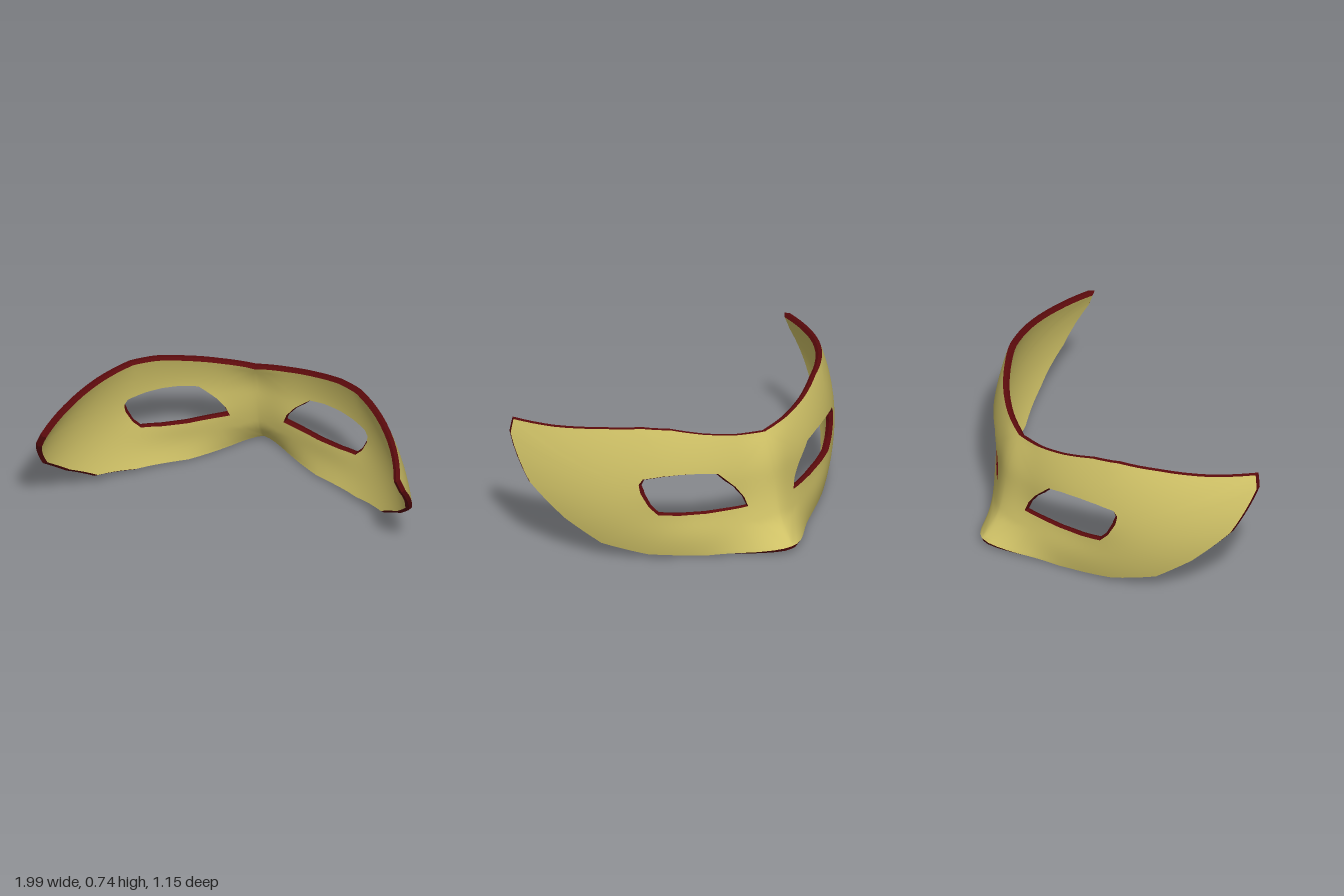
import * as THREE from 'three';
import { mergeVertices } from 'three/addons/utils/BufferGeometryUtils.js';

const THICKNESS = 0.036;
const SPLIT = 4; // subdivisions between outline points
const RINGS = 14; // rings between eye hole and outer edge
const RIDGE = 0.03; // how far the rounded edge bands stand out, as a share of the ring span

// Half outline as [angle from the nose in degrees, height], paired with the eye hole
const EDGE = [
  [0, 0.2], [0, 0.36], [0, 0.5], [0, 0.63], [12, 0.655], [24, 0.69], [36, 0.732],
  [46, 0.746], [60, 0.731], [77, 0.7], [92, 0.68], [91.5, 0.61], [82.5, 0.385],
  [71, 0.215], [59.5, 0.088], [44, 0.03], [24, 0.008], [10, 0.024], [0, 0.045],
];
const EYE = [
  [9.8, 0.265], [11, 0.32], [14, 0.385], [17, 0.43], [20, 0.475], [26, 0.492], [33, 0.498],
  [39, 0.494], [45.5, 0.48], [46.8, 0.45], [46.5, 0.42], [46.2, 0.4], [45.2, 0.37],
  [43.5, 0.32], [40.5, 0.27], [33, 0.255], [24, 0.25], [15, 0.258], [12, 0.261],
];

// Outer surface: a near-cylinder bulging at mid height, with eye sockets, bridge and nose ridge
function surfacePoint(deg, y) {
  const t2 = (deg / 90) ** 2;
  const reach = y > 0.35 ? 0.28 + 0.1 * Math.min(1, 4 * t2) : 0.36;
  const bulge = (0.045 + 0.05 * t2) * (1 - ((y - 0.35) / reach) ** 2);
  const socket = 0.025 * Math.exp(-(((Math.abs(deg) - 27) / 14) ** 2) - ((y - 0.27) / 0.12) ** 2);
  const bridge = 0.03 * Math.max(0, 1 - ((y - 0.4) / 0.23) ** 2) * Math.exp(-((deg / 8) ** 2));
  const drop = Math.max(0, (0.42 - y) / 0.39);
  const nose = 0.22 * drop * drop * Math.exp(-(Math.abs(deg / 13) ** 1.5));
  const r = 0.862 + 0.065 * t2 * t2 + bulge - socket + bridge + nose;
  const a = THREE.MathUtils.degToRad(deg);
  return new THREE.Vector3(r * Math.sin(a), y, 0.5 - r * Math.cos(a));
}

// Point below the outer surface, measured along its normal
function facePoint(deg, y, depth, side) {
  const along = surfacePoint(deg + 0.5, y).sub(surfacePoint(deg - 0.5, y));
  const up = surfacePoint(deg, y + 0.005).sub(surfacePoint(deg, y - 0.005));
  const p = surfacePoint(deg, y).addScaledVector(along.cross(up).normalize(), depth);
  return [side * p.x, p.y, p.z];
}

// Closed polyline with each span split evenly
function subdivide(points) {
  return points.flatMap((p, i) => {
    const q = points[(i + 1) % points.length];
    return Array.from({ length: SPLIT }, (_, k) =>
      p.map((v, c) => v + ((q[c] - v) * k) / SPLIT));
  });
}

function addQuad(out, a, b, c, d, flip) {
  const corners = flip ? [a, c, b, a, d, c] : [a, b, c, a, c, d];
  corners.forEach((p) => out.push(...p));
}

function toGeometry(positions, smooth) {
  let geometry = new THREE.BufferGeometry();
  geometry.setAttribute('position', new THREE.Float32BufferAttribute(positions, 3));
  if (smooth) geometry = mergeVertices(geometry, 1e-4);
  geometry.computeVertexNormals();
  return geometry;
}

export function createModel() {
  const edge = subdivide(EDGE);
  const eye = subdivide(EYE);
  const n = edge.length;
  const outer = [], inner = [], outerRim = [], eyeRims = [];

  for (const side of [1, -1]) {
    const point = (k, f, depth) => {
      const e = eye[k % n], o = edge[k % n];
      const deg = Math.max(0, e[0] + (o[0] - e[0]) * f);
      return facePoint(deg, e[1] + (o[1] - e[1]) * f, depth, side);
    };
    const mirrored = side < 0;
    for (let k = 0; k < n; k++) {
      // Outer and inner skins
      for (let j = 0; j < RINGS; j++) {
        const f0 = j / RINGS, f1 = (j + 1) / RINGS;
        const skin = (out, depth, flip) => addQuad(out, point(k, f0, depth), point(k, f1, depth),
          point(k + 1, f1, depth), point(k + 1, f0, depth), flip);
        skin(outer, 0, mirrored);
        skin(inner, THICKNESS, !mirrored);
      }
      // Rounded bands around the eye holes and the outline (none on the centre line)
      const band = (out, f, ridge, flip) => {
        const rows = [[f, 0], [ridge, THICKNESS / 2], [f, THICKNESS]];
        for (let i = 0; i < 2; i++) {
          addQuad(out, point(k, ...rows[i]), point(k + 1, ...rows[i]),
            point(k + 1, ...rows[i + 1]), point(k, ...rows[i + 1]), flip);
        }
      };
      band(eyeRims, 0, -RIDGE, mirrored);
      if (edge[k][0] > 0 || edge[(k + 1) % n][0] > 0) band(outerRim, 1, 1 + RIDGE, !mirrored);
    }
  }

  const gold = new THREE.MeshStandardMaterial({ color: 0xd2c468 });
  const red = new THREE.MeshStandardMaterial({ color: 0x5a0a0c });
  red.flatShading = true;

  const group = new THREE.Group();
  group.name = 'mask';
  const addPart = (name, positions, material) => {
    const mesh = new THREE.Mesh(toGeometry(positions, material === gold), material);
    mesh.name = name;
    mesh.rotation.y = 0.018; // the mask is turned very slightly to one side
    group.add(mesh);
  };
  addPart('outerFace', outer, gold);
  addPart('innerFace', inner, gold);
  addPart('outerEdge', outerRim, red);
  addPart('eyeHoleEdges', eyeRims, red);
  return group;
}
